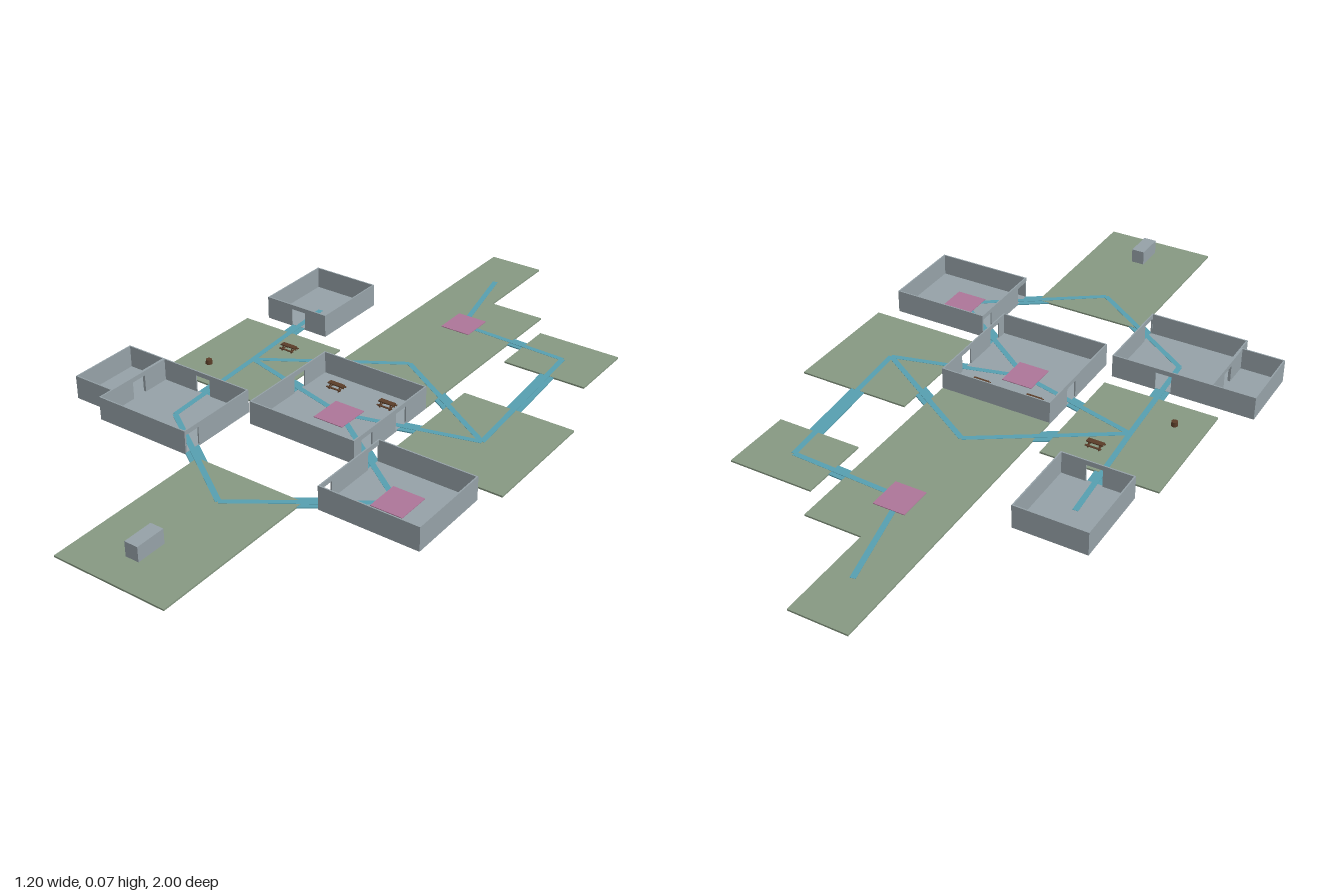
import * as THREE from 'three';

const material = (name, color) => Object.assign(new THREE.MeshStandardMaterial({ color }), { name });
const mats = {
  grass: material('grass green', 0x869882),
  stone: material('stone grey', 0x95a1a7),
  path: material('path teal', 0x569fb0),
  pad: material('pad pink', 0xad7598),
  wood: material('dark wood', 0x5a3d28),
};

const FLOOR = 0.005, WALL = 0.07, THICK = 0.004, DOOR_W = 0.048, DOOR_H = 0.056;

export function createModel() {
  const root = new THREE.Group();
  root.name = 'floorPlan';

  // Box given by its limits on each axis
  function block(parent, name, mat, x0, x1, y0, y1, z0, z1) {
    const mesh = new THREE.Mesh(new THREE.BoxGeometry(x1 - x0, y1 - y0, z1 - z0), mat);
    mesh.position.set((x0 + x1) / 2, (y0 + y1) / 2, (z0 + z1) / 2);
    mesh.name = name;
    parent.add(mesh);
    return mesh;
  }

  // Wall along x or z, with lintelled doorways at the given positions
  function wall(parent, name, axis, at, from, to, doors = []) {
    const piece = (a, b, y0) => axis === 'x'
      ? block(parent, name, mats.stone, a, b, y0, WALL, at - THICK / 2, at + THICK / 2)
      : block(parent, name, mats.stone, at - THICK / 2, at + THICK / 2, y0, WALL, a, b);
    let start = from;
    for (const d of [...doors].sort((a, b) => a - b)) {
      piece(start, d - DOOR_W / 2, 0);
      piece(d - DOOR_W / 2, d + DOOR_W / 2, DOOR_H);
      start = d + DOOR_W / 2;
    }
    piece(start, to, 0);
  }

  // Walled room, open to the sky
  function room(name, x0, x1, z0, z1, doors = {}) {
    const g = new THREE.Group();
    g.name = name;
    root.add(g);
    block(g, 'roomFloor', mats.stone, x0, x1, 0, FLOOR, z0, z1);
    const h = THICK / 2;
    wall(g, 'backWall', 'x', z0 + h, x0, x1, doors.back);
    wall(g, 'frontWall', 'x', z1 - h, x0, x1, doors.front);
    wall(g, 'rightWall', 'z', x0 + h, z0, z1, doors.right);
    wall(g, 'leftWall', 'z', x1 - h, z0, z1, doors.left);
  }

  room('centreRoom', -0.13, 0.21, -0.063, 0.275, { right: [0.06], left: [0.06, 0.217] });
  room('frontLeftRoom', 0.255, 0.55, 0.23, 0.49, { right: [0.258, 0.462] });
  room('frontRightRoom', -0.47, -0.17, 0.23, 0.49, { back: [-0.328], left: [0.46], right: [0.34] });
  room('sideRoom', -0.6, -0.47, 0.23, 0.445, { left: [0.34] });
  room('backRightRoom', -0.47, -0.257, -0.49, -0.237, { front: [-0.356] });

  // Open lawns: x0, x1, z0, z1
  for (const [x0, x1, z0, z1] of [
    [-0.13, 0.21, 0.49, 1],
    [-0.13, 0.21, -0.705, -0.063],
    [-0.13, 0.04, -1, -0.705],
    [-0.515, -0.17, -0.19, 0.185],
    [0.255, 0.595, -0.19, 0.185],
    [0.255, 0.51, -0.62, -0.408],
  ]) block(root, 'lawn', mats.grass, x0, x1, 0, FLOOR, z0, z1);

  // Paths join the middles of neighbouring areas
  const P = {
    front: [0.04, 0.61], centre: [0.04, 0.1], back: [0.04, -0.24], backPad: [0.04, -0.53],
    tail: [-0.03, -0.84], west: [-0.34, 0], east: [0.425, 0], northEast: [0.385, -0.515],
    northWest: [-0.365, -0.36], southWest: [-0.32, 0.36], southEast: [0.4, 0.36],
  };
  function strip(name, [ax, az], [bx, bz], width, y0, y1) {
    const length = Math.hypot(bx - ax, bz - az);
    const mesh = new THREE.Mesh(new THREE.BoxGeometry(width, y1 - y0, length), mats.path);
    mesh.position.set((ax + bx) / 2, (y0 + y1) / 2, (az + bz) / 2);
    mesh.rotation.y = Math.atan2(bx - ax, bz - az);
    mesh.name = name;
    root.add(mesh);
  }
  for (const [a, b] of [
    ['southWest', 'front'], ['southEast', 'front'], ['southEast', 'centre'], ['centre', 'east'],
    ['centre', 'west'], ['west', 'back'], ['east', 'back'], ['west', 'northWest'],
    ['west', 'southWest'], ['east', 'northEast'], ['northEast', 'backPad'], ['backPad', 'tail'],
  ]) {
    strip('pathBridge', P[a], P[b], 0.043, 0.001, FLOOR - 0.0006);
    strip('pathTrail', P[a], P[b], 0.016, FLOOR - 0.001, FLOOR + 0.0006);
  }

  // Pink floor pads
  for (const [x, z] of [[0.04, -0.535], [0.04, 0.105], [0.4, 0.358]])
    block(root, 'floorPad', mats.pad, x - 0.047, x + 0.047, FLOOR, FLOOR + 0.002, z - 0.051, z + 0.051);

  // Raised crate on the front lawn
  block(root, 'crate', mats.stone, 0.02, 0.06, 0.017, 0.06, 0.828, 0.917);

  // Picnic tables with splayed legs and two benches
  for (const [x, z] of [[-0.287, -0.1], [-0.045, 0], [0.125, 0]]) {
    const t = new THREE.Group();
    t.name = 'picnicTable';
    t.position.set(x, FLOOR, z);
    root.add(t);
    block(t, 'tableTop', mats.wood, -0.024, 0.024, 0.015, 0.018, -0.008, 0.008);
    for (const s of [-1, 1]) {
      block(t, 'bench', mats.wood, -0.024, 0.024, 0.007, 0.009, s * 0.013 - 0.003, s * 0.013 + 0.003);
      block(t, 'benchBeam', mats.wood, s * 0.016 - 0.0015, s * 0.016 + 0.0015, 0.005, 0.007, -0.015, 0.015);
      for (const e of [-1, 1]) {
        const leg = block(t, 'tableLeg', mats.wood, e * 0.016 - 0.0015, e * 0.016 + 0.0015,
          0, 0.016, s * 0.009 - 0.0015, s * 0.009 + 0.0015);
        leg.rotation.x = -s * 0.4;
      }
    }
  }

  // Small stump
  const stump = new THREE.Mesh(new THREE.CylinderGeometry(0.009, 0.01, 0.014, 8), mats.wood);
  stump.position.set(-0.427, FLOOR + 0.007, 0.093);
  stump.name = 'stump';
  root.add(stump);

  return root;
}
